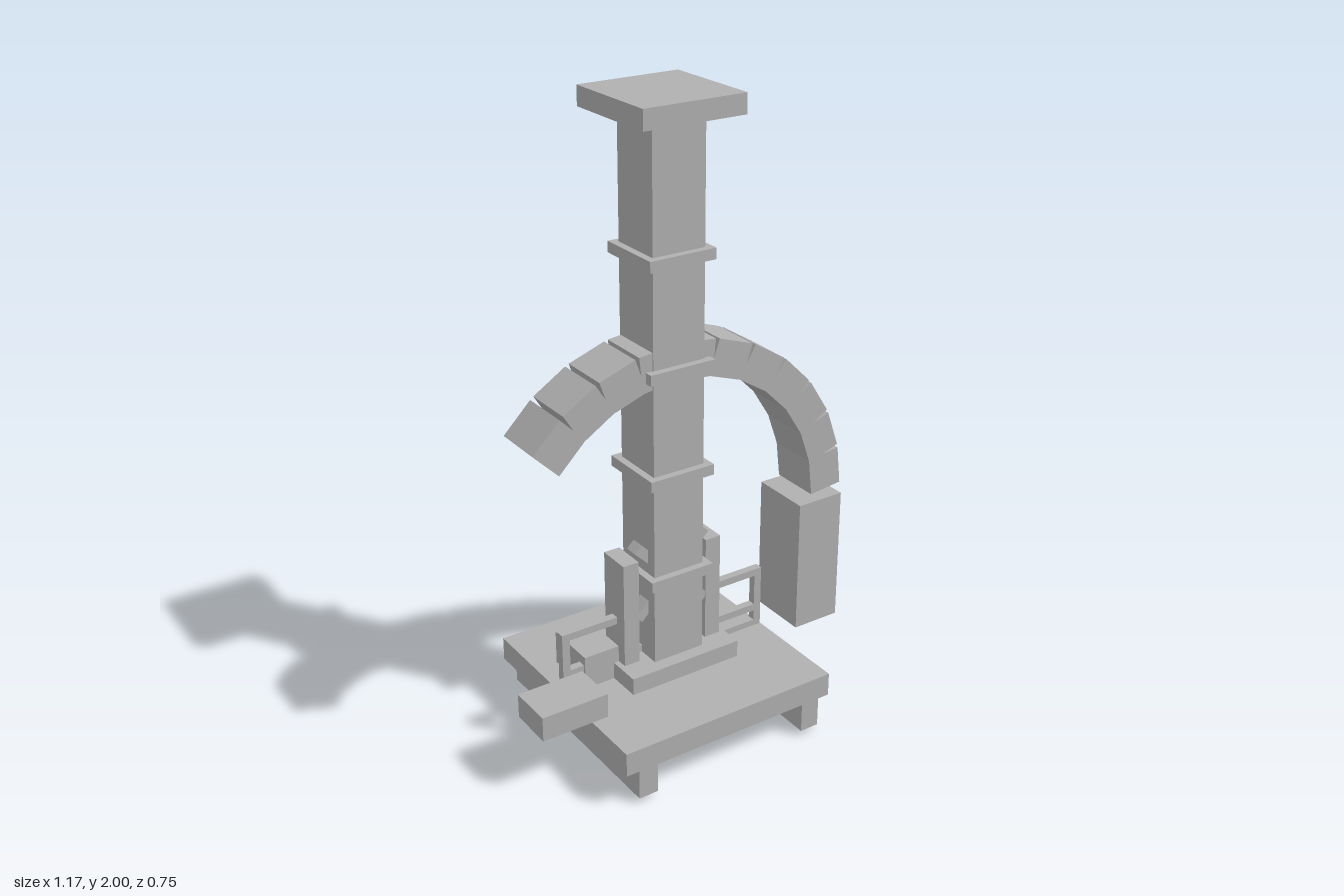
import * as THREE from 'three';

export function createModel() {
  const model = new THREE.Group();
  model.name = 'columnMachine';
  const grey = new THREE.MeshStandardMaterial({ color: 0xb0b0b0 });
  grey.name = 'plain grey';
  const cx = -0.045; // axis of the column

  // Box given by its extents along each axis
  function box(name, [x0, x1], [y0, y1], [z0, z1], parent = model) {
    const mesh = new THREE.Mesh(new THREE.BoxGeometry(x1 - x0, y1 - y0, z1 - z0), grey);
    mesh.position.set((x0 + x1) / 2, (y0 + y1) / 2, (z0 + z1) / 2);
    mesh.name = name;
    parent.add(mesh);
    return mesh;
  }
  // Square block centred on the column axis
  const block = (name, halfX, y, halfZ = halfX) =>
    box(name, [cx - halfX, cx + halfX], y, [-halfZ, halfZ]);

  // Base
  block('underBlock', 0.167, [0, 0.113]);
  block('basePlate', 0.373, [0.113, 0.19]);
  for (const x of [-0.343, 0.257]) box('skid', [x - 0.032, x + 0.032], [0.016, 0.113], [-0.373, 0.373]);
  block('baseCollar', 0.195, [0.19, 0.246], 0.131);

  // Column with cap and bands
  block('column', 0.088, [0.19, 1.94]);
  block('cap', 0.167, [1.94, 2]);
  for (const y of [0.528, 0.866, 1.204, 1.542]) block('band', 0.111, [y - 0.017, y + 0.017]);

  // Side posts and crossed braces through the column
  for (const side of [-1, 1]) {
    const x = cx + side * 0.15;
    box('sidePost', [x - 0.027, x + 0.027], [0.19, 0.596], [-0.055, 0.055]);
    const brace = new THREE.Mesh(new THREE.BoxGeometry(0.345, 0.033, 0.045), grey);
    brace.name = 'crossBrace';
    brace.position.set(cx, 0.514, 0.03);
    brace.rotation.z = side * Math.PI / 4;
    model.add(brace);
  }

  // Arched duct made of straight segments
  const arch = new THREE.Group();
  arch.name = 'archedDuct';
  arch.position.set(cx, 0.662, 0);
  model.add(arch);
  const step = Math.PI / 14, radius = 0.563;
  const segment = new THREE.BoxGeometry(0.115, radius * step, 0.168);
  for (let i = 0; i < 11; i++) {
    const a = (i + 0.5) * step;
    const mesh = new THREE.Mesh(segment, grey);
    mesh.name = 'ductSegment';
    mesh.position.set(radius * Math.cos(a), radius * Math.sin(a), 0);
    mesh.rotation.z = a;
    arch.add(mesh);
  }

  // Boxes around the base
  box('tallCabinet', [0.407, 0.572], [0.19, 0.638], [-0.102, 0.102]);
  box('sideTray', [-0.587, -0.365], [0.193, 0.273], [0.04, 0.187]);
  box('rearBox', [-0.343, -0.205], [0.19, 0.3], [-0.158, 0.02]);

  // Railing
  const railing = new THREE.Group();
  railing.name = 'railing';
  model.add(railing);
  for (const [y0, y1] of [[0.376, 0.4], [0.246, 0.27], [0.19, 0.211]])
    box('rail', [-0.416, 0.327], [y0, y1], [-0.013, 0.013], railing);
  for (const x of [-0.403, 0.314])
    box('railPost', [x - 0.013, x + 0.013], [0.19, 0.4], [-0.013, 0.013], railing);

  return model;
}
